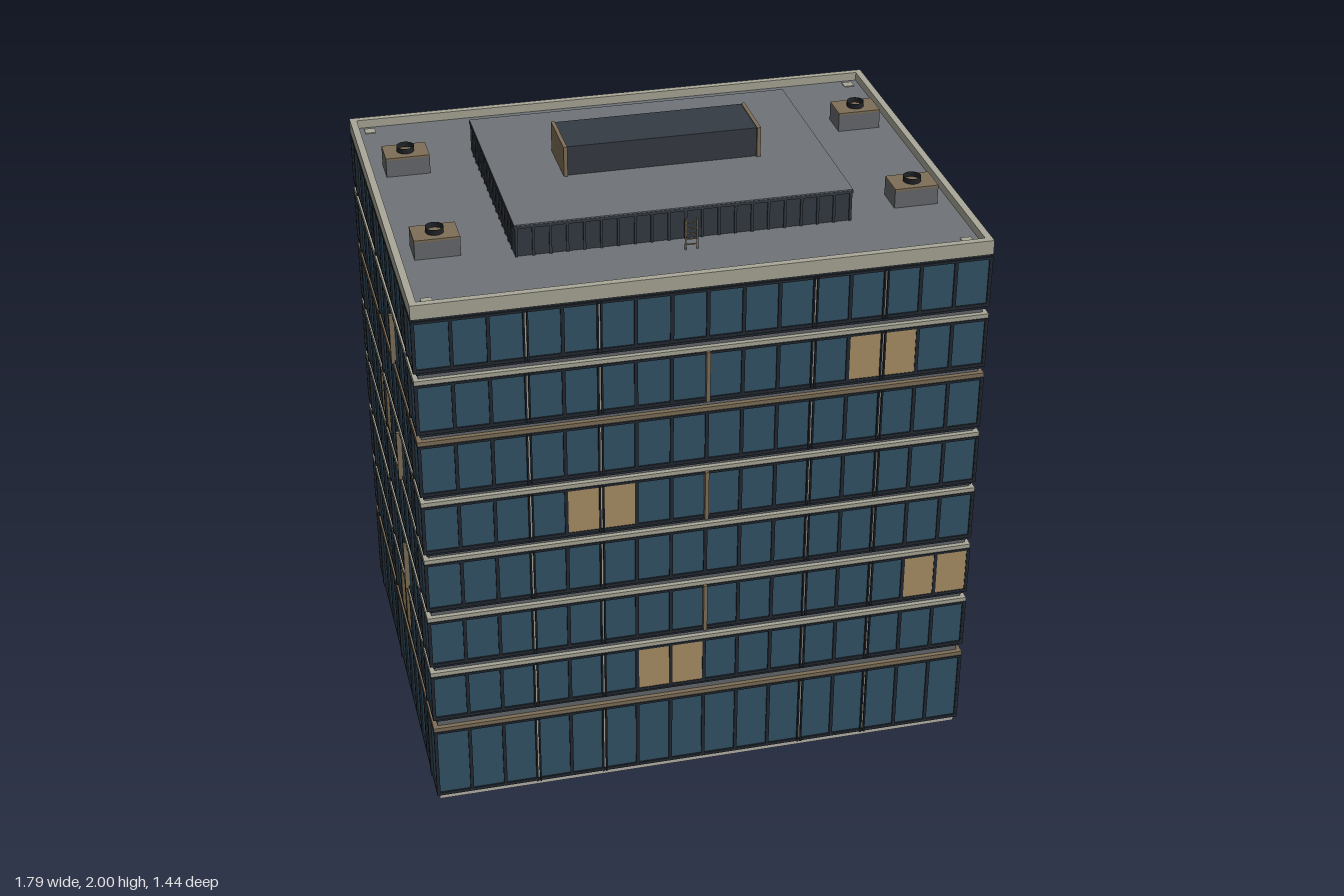
import * as THREE from 'three';

const mat = (name, color, extra = {}) => {
  const m = new THREE.MeshStandardMaterial({ color, ...extra });
  m.name = name;
  return m;
};

export function createModel() {
  const glass = mat('blue glass', 0x325368);
  const frame = mat('dark frame', 0x222931);
  const stone = mat('pale stone', 0xa9a898);
  const slabGrey = mat('slab grey', 0x66696d);
  const roofGrey = mat('roof grey', 0x6f7478);
  const bronze = mat('bronze', 0x7e6e57);
  const warm = mat('lit window', 0xab9065);
  const metal = mat('dark metal', 0x353b43);
  const ring = mat('fan black', 0x202327, { side: THREE.DoubleSide });
  const baseTone = mat('base concrete', 0xb7b4ab);

  const model = new THREE.Group();
  model.name = 'officeBuilding';
  const CZ = 0.045, HX = 0.88, HZ = 0.66, BACK = CZ - HZ;

  // box given by its minimum and maximum corners
  function box(parent, name, m, x0, x1, y0, y1, z0, z1) {
    const mesh = new THREE.Mesh(new THREE.BoxGeometry(x1 - x0, y1 - y0, z1 - z0), m);
    mesh.position.set((x0 + x1) / 2, (y0 + y1) / 2, (z0 + z1) / 2);
    mesh.name = name;
    parent.add(mesh);
  }
  // full storey block around the building centre, grown by g
  const layer = (parent, name, m, y0, y1, g) =>
    box(parent, name, m, -HX - g, HX + g, y0, y1, CZ - HZ - g, CZ + HZ + g);

  // four facades; in each, local x runs along the wall and local z points outward
  const facades = [
    { name: 'front', rot: 0, x: 0, z: CZ + HZ, half: HX, n: 16, gaps: [3, 5, 11, 13], fin: 8 },
    { name: 'back', rot: Math.PI, x: 0, z: BACK, half: HX, n: 16, gaps: [3, 5, 11, 13], fin: 8 },
    { name: 'left', rot: Math.PI / 2, x: HX, z: CZ, half: HZ, n: 12, gaps: [1, 7, 11], fin: 4 },
    { name: 'right', rot: -Math.PI / 2, x: -HX, z: CZ, half: HZ, n: 12, gaps: [1, 5, 11], fin: 8 },
  ];
  // storeys: bottom and top of the glazing
  const floors = [[0.02, 0.275], [0.326, 0.494], [0.537, 0.705], [0.75, 0.922],
    [0.962, 1.13], [1.17, 1.345], [1.387, 1.554], [1.598, 1.766]];
  // first panel of each lit pair, by facade and storey
  const lit = {
    front: { 1: 6, 2: 14, 4: 4, 6: 12 },
    back: { 2: 0, 4: 10, 5: 2, 7: 12 },
    left: { 1: 4, 4: 6 },
    right: { 1: 6, 4: 4 },
  };

  // glazed storeys with ledges between them
  layer(model, 'baseSlab', baseTone, 0, 0.02, -0.004);
  floors.forEach(([y0, y1], i) => {
    const storey = new THREE.Group();
    storey.name = 'storey' + (i + 1);
    model.add(storey);
    if (i === 0) {
      // ground floor glazing leaves the rear lobby open
      const deep = BACK + 0.3;
      box(storey, 'glazing', glass, -HX, HX, y0, y1, deep, CZ + HZ);
      box(storey, 'glazing', glass, -HX, -0.06, y0, y1, BACK, deep);
      box(storey, 'glazing', glass, 0.06, HX, y0, y1, BACK, deep);
      box(storey, 'lobbyCeiling', metal, -0.06, 0.06, 0.2, y1, BACK, deep);
      box(storey, 'lobbyFloor', baseTone, -0.06, 0.06, y0, y0 + 0.014, BACK - 0.005, deep);
    } else {
      layer(storey, 'glazing', glass, y0, y1, 0);
    }
    layer(storey, 'sillFrame', frame, y0, y0 + 0.011, 0.005);
    layer(storey, 'headFrame', frame, y1 - 0.006, y1 + 0.002, 0.005);
    if (i < 7) {
      const next = floors[i + 1][0];
      layer(storey, 'slab', slabGrey, y1, next, -0.01);
      layer(storey, 'ledge', i === 0 || i === 5 ? bronze : stone, y1 + 0.004, y1 + 0.018, 0.005);
      layer(storey, 'shadowStrip', frame, next - 0.013, next - 0.006, -0.005);
    }
    for (const f of facades) {
      const wall = new THREE.Group();
      wall.name = f.name + 'Facade';
      wall.position.set(f.x, 0, f.z);
      wall.rotation.y = f.rot;
      storey.add(wall);
      const w = 2 * f.half / f.n;
      // mullions, split around a pale strip at the columns
      for (let k = 0; k <= f.n; k++) {
        const x = -f.half + k * w;
        if (i === 0 && f.name === 'back' && k === 8) continue;
        if (f.gaps.includes(k)) {
          box(wall, 'columnStrip', stone, x - 0.003, x + 0.003, y0 + 0.011, y1 - 0.006, -0.002, 0.001);
          for (const s of [-0.0055, 0.0055])
            box(wall, 'mullion', frame, x + s - 0.0025, x + s + 0.0025, y0, y1, -0.002, 0.009);
        } else {
          box(wall, 'mullion', frame, x - 0.0055, x + 0.0055, y0, y1, -0.002, 0.005);
        }
      }
      // lit windows
      const first = lit[f.name][i];
      if (first !== undefined)
        for (const k of [first, first + 1])
          box(wall, 'litWindow', warm, -f.half + k * w + 0.004, -f.half + (k + 1) * w - 0.004,
            y0 + 0.008, y1 - 0.005, -0.002, 0.003);
      // bronze fins on alternate storeys
      if (i === 2 || i === 4 || i === 6) {
        const x = -f.half + f.fin * w;
        box(wall, 'fin', bronze, x - 0.006, x + 0.006, y0, y1 + 0.005, 0, 0.016);
      }
    }
  });

  // roof deck and parapet
  layer(model, 'roofDeck', roofGrey, 1.766, 1.795, -0.008);
  layer(model, 'corniceFrame', frame, 1.768, 1.776, 0);
  const px = HX + 0.005, zb = BACK - 0.005, zf = CZ + HZ + 0.005, t = 0.022;
  box(model, 'parapetFront', stone, -px, px, 1.776, 1.823, zf - t, zf);
  box(model, 'parapetBack', stone, -px, px, 1.776, 1.823, zb, zb + t);
  for (const s of [-1, 1]) {
    const a = s * px, b = s * (px - t);
    box(model, 'parapetSide', stone, Math.min(a, b), Math.max(a, b), 1.776, 1.823, zb + t, zf - t);
    for (const z of [-0.565, 0.64])
      box(model, 'roofPad', stone, s * 0.825 - 0.017, s * 0.825 + 0.017, 1.79, 1.798, z - 0.017, z + 0.017);
  }

  // penthouse with ribbed walls
  const pent = new THREE.Group();
  pent.name = 'penthouse';
  model.add(pent);
  box(pent, 'penthouseWalls', metal, -0.522, 0.522, 1.79, 1.892, -0.345, 0.425);
  box(pent, 'penthouseRim', metal, -0.527, 0.527, 1.888, 1.898, -0.35, 0.43);
  box(pent, 'penthouseRoof', roofGrey, -0.526, 0.526, 1.892, 1.901, -0.349, 0.429);
  for (let k = 0; k <= 20; k++) {
    const x = -0.52 + k * 0.052;
    box(pent, 'rib', metal, x - 0.004, x + 0.004, 1.79, 1.892, -0.35, 0.43);
  }
  for (let k = 1; k < 15; k++) {
    const z = -0.345 + k * 0.0513;
    box(pent, 'rib', metal, -0.527, 0.527, 1.79, 1.892, z - 0.004, z + 0.004);
  }
  // plant housing with bronze end plates
  box(model, 'plantHousing', metal, -0.302, 0.302, 1.9, 1.997, -0.058, 0.13);
  for (const x of [-0.308, 0.308])
    box(model, 'endPlate', bronze, x - 0.006, x + 0.006, 1.9, 2, -0.058, 0.138);

  // air conditioning units
  for (const x of [-0.75, 0.75]) for (const z of [-0.255, 0.33]) {
    const unit = new THREE.Group();
    unit.name = 'coolingUnit';
    unit.position.set(x, 1.79, z);
    model.add(unit);
    box(unit, 'casing', slabGrey, -0.07, 0.07, 0, 0.062, -0.05, 0.05);
    box(unit, 'casingTop', bronze, -0.07, 0.07, 0.062, 0.069, -0.05, 0.05);
    const fan = new THREE.Mesh(new THREE.CylinderGeometry(0.028, 0.028, 0.018, 16, 1, true), ring);
    fan.name = 'fanRing';
    fan.position.y = 0.078;
    unit.add(fan);
  }

  // roof ladder
  for (const x of [-0.018, 0.018])
    box(model, 'ladderRail', bronze, x - 0.0025, x + 0.0025, 1.79, 1.9, 0.498, 0.502);
  for (let k = 0; k < 5; k++)
    box(model, 'ladderRung', bronze, -0.018, 0.018, 1.81 + k * 0.018, 1.814 + k * 0.018, 0.499, 0.501);

  // rear entrance with canopy
  box(model, 'canopy', metal, -0.222, 0.222, 0.258, 0.27, -0.724, BACK);
  for (const x of [-0.064, 0.064])
    box(model, 'doorJamb', frame, x - 0.004, x + 0.004, 0.02, 0.208, BACK - 0.008, BACK + 0.01);
  box(model, 'doorHead', frame, -0.068, 0.068, 0.2, 0.208, BACK - 0.008, BACK + 0.01);
  box(model, 'entrancePlate', bronze, 0.125, 0.137, 0.09, 0.22, BACK - 0.014, BACK);

  return model;
}
